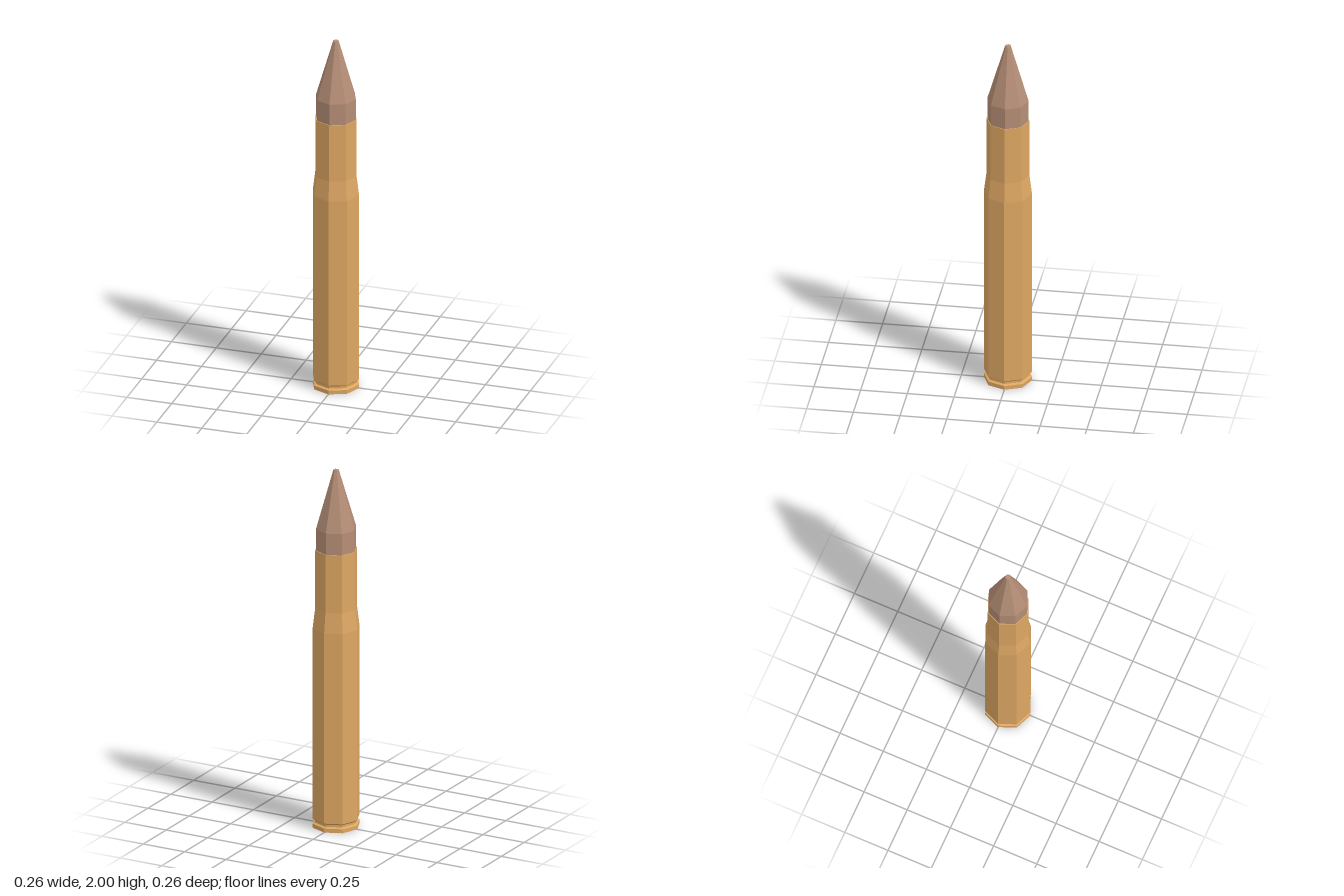
import * as THREE from 'three';

const SIDES = 8;

// Faceted solid of revolution; profile is [radius, height] from bottom to top
function turned(name, color, profile) {
  const points = profile.map(([r, y]) => new THREE.Vector2(r, y));
  const mesh = new THREE.Mesh(
    new THREE.LatheGeometry(points, SIDES),
    new THREE.MeshStandardMaterial({ color, flatShading: true })
  );
  mesh.name = name;
  return mesh;
}

export function createModel() {
  const group = new THREE.Group();
  group.name = 'cartridge';

  // Brass case: rim, extractor groove, body, shoulder, neck and mouth
  group.add(turned('case', 0xdea763, [
    [0, 0],
    [0.129, 0],
    [0.129, 0.022],
    [0.116, 0.028],
    [0.116, 0.04],
    [0.129, 0.05],
    [0.129, 1.12],
    [0.115, 1.23],
    [0.115, 1.556],
    [0, 1.556],
  ]));

  // Copper bullet: straight shank, tapered nose and small flat tip
  group.add(turned('bullet', 0xb58e76, [
    [0.111, 1.556],
    [0.111, 1.675],
    [0.015, 2],
    [0, 2],
  ]));

  return group;
}
